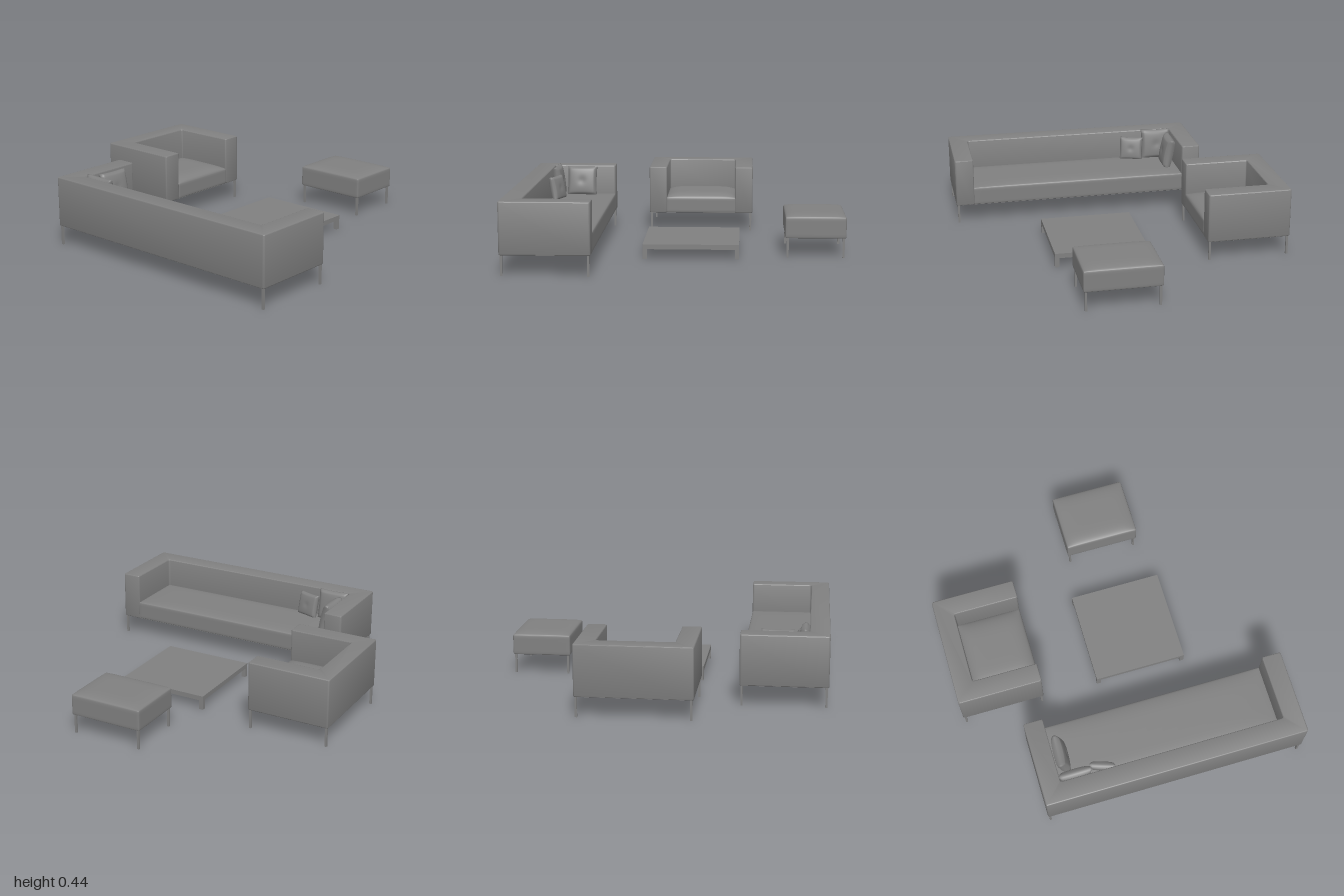
import * as THREE from 'three';
import { mergeVertices, toCreasedNormals } from 'three/addons/utils/BufferGeometryUtils.js';

const grey = new THREE.MeshStandardMaterial({ color: 0x808080 });
const BOTTOM = 0.12; // underside of the upholstery

function add(parent, name, geometry, x = 0, y = 0, z = 0) {
  const mesh = new THREE.Mesh(geometry, grey);
  mesh.name = name;
  mesh.position.set(x, y, z);
  parent.add(mesh);
  return mesh;
}

function smooth(geometry) {
  geometry.deleteAttribute('normal');
  geometry.deleteAttribute('uv');
  const merged = mergeVertices(geometry, 1e-5);
  merged.computeVertexNormals();
  return merged;
}

// Soft block standing on y = 0, with rounded edges and a domed top
function cushion(w, h, d, crown, r = 0.01) {
  const geo = new THREE.BoxGeometry(2, 2, 2, 24, 10, 24);
  const half = new THREE.Vector3(w / 2, h / 2, d / 2);
  const inner = half.clone().subScalar(r);
  const pos = geo.attributes.position;
  const p = new THREE.Vector3(), c = new THREE.Vector3();
  for (let i = 0; i < pos.count; i++) {
    // rows of vertices gather near the edges
    p.fromBufferAttribute(pos, i);
    p.set(...p.toArray().map((t) => Math.sin(t * Math.PI / 2)));
    const dome = (1 - p.x ** 6) * (1 - p.z ** 6);
    const lift = crown * dome * Math.max(0, p.y);
    p.multiply(half);
    c.copy(p).clamp(inner.clone().negate(), inner);
    p.sub(c).setLength(r).add(c);
    pos.setXYZ(i, p.x, p.y + h / 2 + lift, p.z);
  }
  return smooth(geo);
}

// Closed outline with small rounded corners
function roundedShape(points, r) {
  const shape = new THREE.Shape();
  const pts = points.map(([x, y]) => new THREE.Vector2(x, y));
  pts.forEach((p, i) => {
    const prev = pts[(i + pts.length - 1) % pts.length];
    const next = pts[(i + 1) % pts.length];
    const a = prev.clone().sub(p).setLength(r).add(p);
    const b = next.clone().sub(p).setLength(r).add(p);
    if (i === 0) shape.moveTo(a.x, a.y);
    else shape.lineTo(a.x, a.y);
    shape.quadraticCurveTo(p.x, p.y, b.x, b.y);
  });
  shape.closePath();
  return shape;
}

// Back and both arms as one U, open towards +z
function armFrame(w, d, h, t) {
  const x = w / 2, y = d / 2, bevel = 0.006;
  const shape = roundedShape([
    [-x, -y], [-x + t, -y], [-x + t, y - t], [x - t, y - t],
    [x - t, -y], [x, -y], [x, y], [-x, y],
  ], 0.012);
  const geo = new THREE.ExtrudeGeometry(shape, {
    depth: h - 2 * bevel, bevelEnabled: true, bevelSize: bevel, bevelOffset: -bevel,
    bevelThickness: bevel, bevelSegments: 3, curveSegments: 4,
  });
  geo.translate(0, 0, bevel).rotateX(-Math.PI / 2);
  return toCreasedNormals(geo, 0.7);
}

function addLegs(parent, w, d, size, height, inset) {
  for (const sx of [-1, 1]) for (const sz of [-1, 1]) {
    add(parent, 'leg', new THREE.BoxGeometry(size, height, size),
      sx * (w / 2 - inset), height / 2, sz * (d / 2 - inset));
  }
}

function armSeat(name, w, d, t, seatHeight, crown) {
  const group = new THREE.Group();
  group.name = name;
  add(group, 'backAndArms', armFrame(w, d, 0.307, t), 0, BOTTOM + 0.001, 0);
  // the seat tucks slightly into the arms and back
  add(group, 'seatCushion', cushion(w - 2 * t + 0.01, seatHeight, d - t + 0.005, crown),
    0, BOTTOM + 0.001, t / 2 - 0.0025);
  add(group, 'basePanel', new THREE.BoxGeometry(w - 0.012, 0.012, d - 0.012), 0, BOTTOM + 0.006, 0);
  addLegs(group, w, d, 0.013, BOTTOM + 0.003, 0.014);
  return group;
}

// Square scatter pillow: plump almost to the seam, with pulled-in sides
function pillow(size, thickness) {
  const geo = new THREE.BoxGeometry(2, 2, 2, 18, 18, 2);
  const pos = geo.attributes.position;
  for (let i = 0; i < pos.count; i++) {
    const u = pos.getX(i), v = pos.getY(i), side = pos.getZ(i);
    const full = Math.pow(Math.max(0, (1 - u * u) * (1 - v * v)), 0.25);
    const dimple = 1 - 0.2 * Math.exp(-14 * (u * u + v * v));
    pos.setXYZ(i,
      u * size / 2 * (1 - 0.04 * (1 - v * v)),
      v * size / 2 * (1 - 0.04 * (1 - u * u)),
      side * thickness / 2 * (0.25 + 0.75 * full * dimple));
  }
  return smooth(geo);
}

function coffeeTable() {
  const group = new THREE.Group();
  group.name = 'coffeeTable';
  const w = 0.58, rail = 0.026;
  add(group, 'tableTop', new THREE.BoxGeometry(w, 0.008, w), 0, 0.085, 0);
  // rails under the edge of the top
  for (const s of [-1, 1]) {
    const offset = s * (w - rail) / 2;
    add(group, 'sideRail', new THREE.BoxGeometry(rail, 0.022, w), offset, 0.07, 0);
    add(group, 'endRail', new THREE.BoxGeometry(w - 2 * rail, 0.022, rail), 0, 0.07, offset);
  }
  addLegs(group, w, w, rail, 0.06, rail / 2);
  return group;
}

export function createModel() {
  const model = new THREE.Group();
  model.name = 'loungeSet';

  // Long sofa, opening towards +x
  const sofa = armSeat('sofa', 1.634, 0.522, 0.12, 0.117, 0.012);
  sofa.position.set(-0.739, 0, 0.17);
  sofa.rotation.y = Math.PI / 2;
  model.add(sofa);

  const chair = armSeat('armchair', 0.687, 0.522, 0.117, 0.103, 0.028);
  chair.position.set(0.099, 0, -0.727);
  model.add(chair);

  // Footstool
  const stool = new THREE.Group();
  stool.name = 'footstool';
  add(stool, 'stoolCushion', cushion(0.368, 0.13, 0.466, 0.015), 0, BOTTOM, 0);
  addLegs(stool, 0.368, 0.466, 0.013, BOTTOM + 0.003, 0.016);
  stool.position.set(0.816, 0, 0.174);
  model.add(stool);

  const table = coffeeTable();
  table.position.set(0.066, 0, 0.178);
  model.add(table);

  // Pillows in the sofa corner: size, thickness, position, turn, lean
  const pillows = [
    [0.2, 0.065, [-0.842, 0.338, -0.428], Math.PI / 2, -0.14],
    [0.195, 0.075, [-0.695, 0.331, -0.475], -0.04, -0.2],
    [0.155, 0.055, [-0.832, 0.316, -0.254], 1.25, -0.2],
  ];
  for (const [size, thick, at, turn, lean] of pillows) {
    const mesh = add(model, 'pillow', pillow(size, thick), ...at);
    mesh.rotation.set(lean, turn, 0, 'YXZ');
  }
  return model;
}
